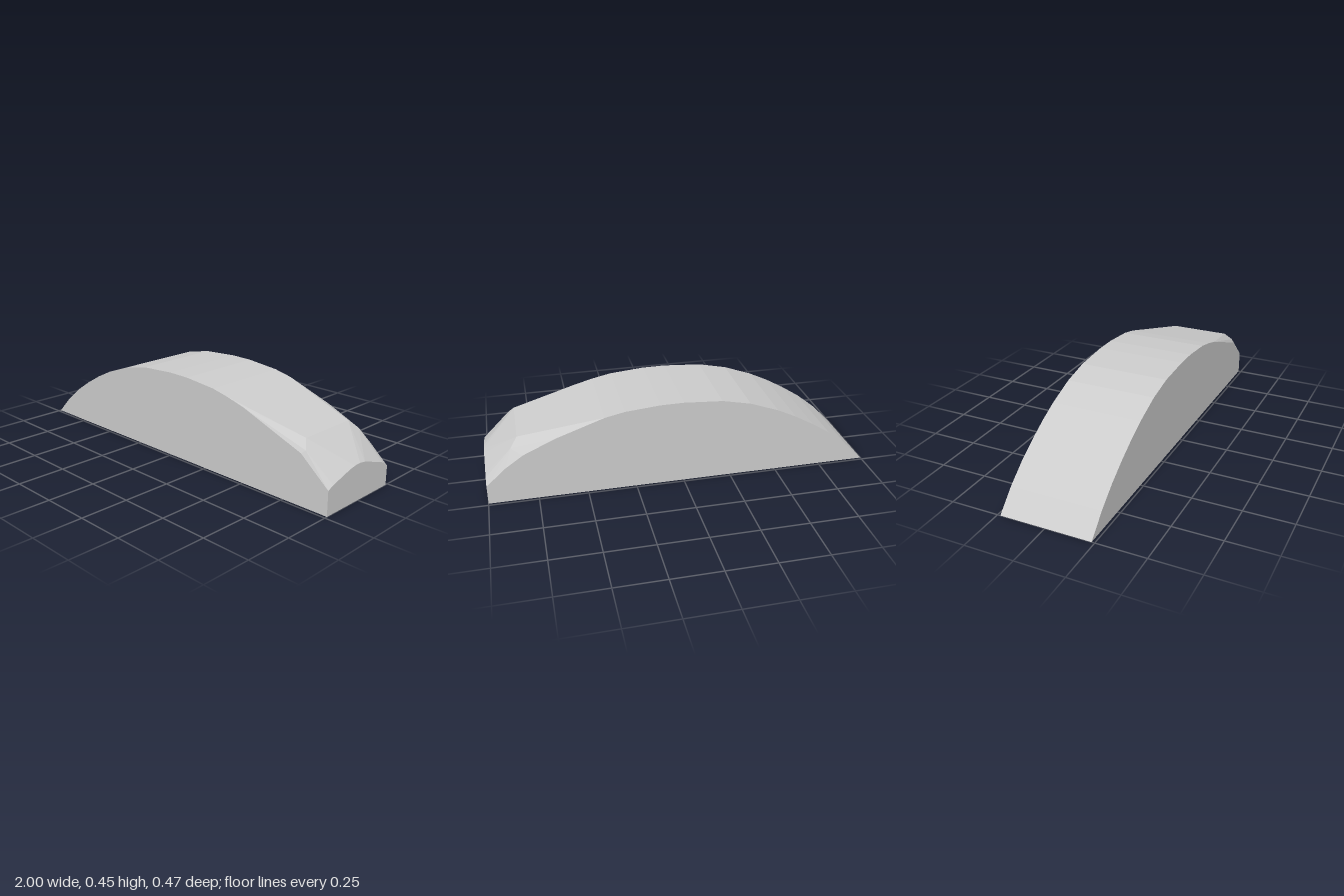
import * as THREE from 'three';
import { ConvexGeometry } from 'three/addons/geometries/ConvexGeometry.js';

export function createModel() {
  const group = new THREE.Group();
  const half = 0.235;
  const points = [];
  const add = (x, y, z) => points.push(new THREE.Vector3(x, y, z));

  // Arched profile shared by both sides, from the thin tip to the shoulder
  const arch = [
    [-1, 0], [-0.9, 0.1], [-0.8, 0.18], [-0.7, 0.245], [-0.6, 0.302], [-0.5, 0.35],
    [-0.35, 0.405], [-0.2, 0.437], [0, 0.45], [0.12, 0.449], [0.3, 0.433], [0.4, 0.412],
  ];
  for (const z of [half, -half]) {
    for (const [x, y] of arch) add(x, y, z);
    add(1, 0, z);
  }

  // Side edges of the bevelled end: the front one is slightly higher
  for (const [x, y] of [[0.5, 0.385], [0.844, 0.255], [1, 0.125]]) add(x, y, half);
  for (const [x, y] of [[0.5, 0.376], [0.65, 0.325], [0.81, 0.253], [0.9, 0.19], [1, 0.1]]) add(x, y, -half);

  // Ridge across the bevelled end, with its chamfered corners
  add(0.83, 0.31, 0.183);
  add(0.83, 0.31, -0.14);
  add(0.86, 0.27, 0.222);
  add(0.865, 0.27, -0.18);

  // Curved upper edge of the blunt end face
  for (const [z, y] of [[0.2, 0.141], [0.08, 0.176], [0.04, 0.184], [0, 0.186], [-0.04, 0.18], [-0.165, 0.14], [-0.195, 0.129]]) {
    add(1, y, z);
  }

  const block = new THREE.Mesh(
    new ConvexGeometry(points),
    new THREE.MeshStandardMaterial({ color: 0xcccccc, flatShading: true }),
  );
  block.name = 'archedBlock';
  group.add(block);
  return group;
}
